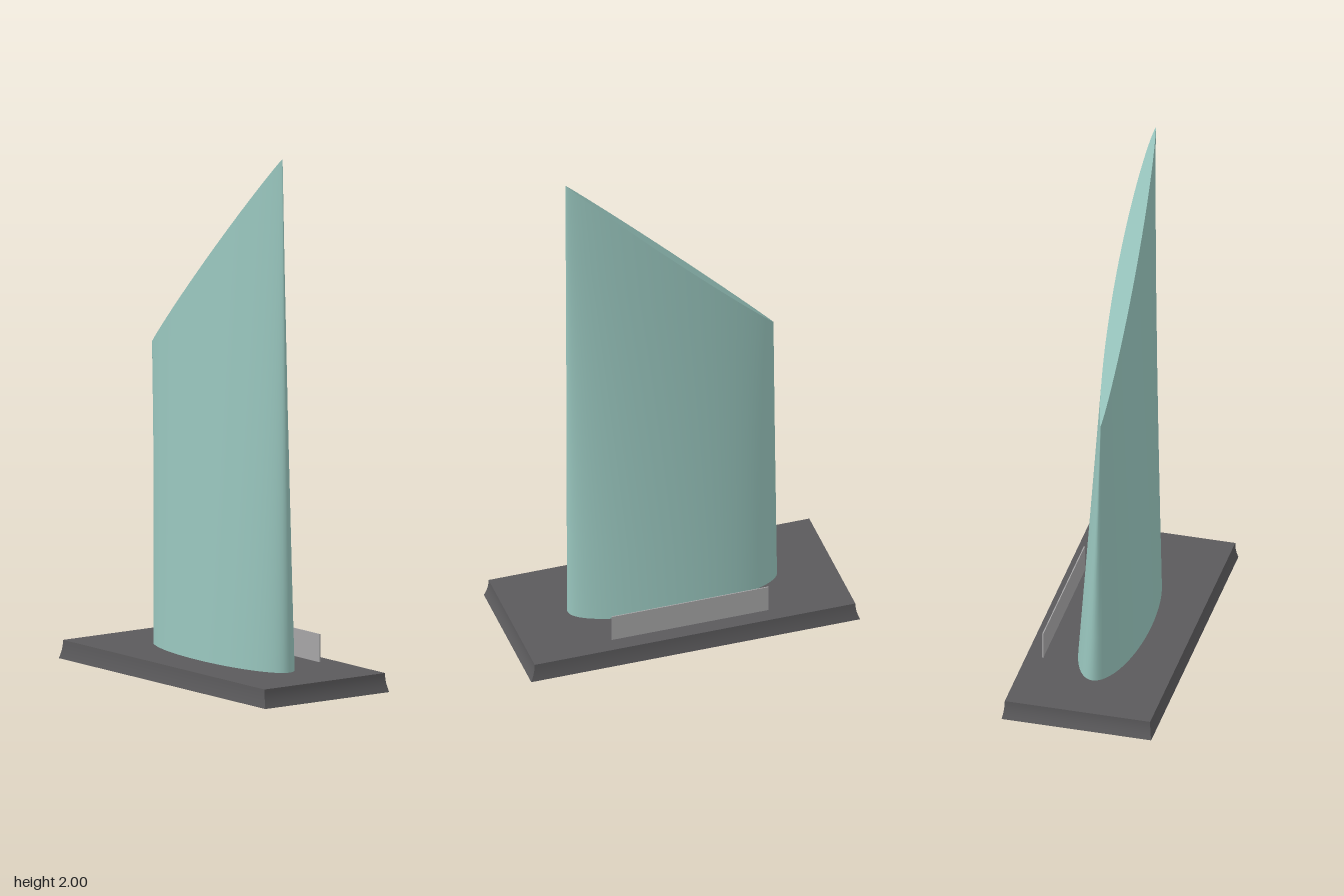
import * as THREE from 'three';

const SEGMENTS = 64;
const ROWS = 6;
const BASE_TOP = 0.07;

const teal = new THREE.MeshStandardMaterial({ color: 0x98c5bd });
teal.name = 'pale teal';
const darkGrey = new THREE.MeshStandardMaterial({ color: 0x5b5a5c });
darkGrey.name = 'dark grey';
const lightGrey = new THREE.MeshStandardMaterial({ color: 0xa6a5a6 });
lightGrey.name = 'light grey';

// Foot of the tower: a plain ellipse
function footPoint(t) {
  return new THREE.Vector3(0.12 * Math.cos(t), BASE_TOP, 0.405 * Math.sin(t));
}

// Top of the tower: an off-centre pointed lens on a 45 degree slope
function crownPoint(t) {
  const c = Math.cos(t);
  const z = 0.403 * Math.sin(t);
  const bulge = Math.pow(Math.abs(c), 1.5) * (c > 0 ? 0.046 : -0.025);
  return new THREE.Vector3(-0.031 + bulge, 1.597 + z, z);
}

function buildGeometry(positions, index) {
  const geometry = new THREE.BufferGeometry();
  geometry.setAttribute('position', new THREE.Float32BufferAttribute(positions, 3));
  geometry.setIndex(index);
  geometry.computeVertexNormals();
  return geometry;
}

// Ruled surface from the foot up to the crown
function towerWall() {
  const positions = [];
  const index = [];
  for (let r = 0; r <= ROWS; r++) {
    for (let i = 0; i < SEGMENTS; i++) {
      const t = (i / SEGMENTS) * Math.PI * 2;
      positions.push(...footPoint(t).lerp(crownPoint(t), r / ROWS).toArray());
    }
  }
  for (let r = 0; r < ROWS; r++) {
    for (let i = 0; i < SEGMENTS; i++) {
      const j = (i + 1) % SEGMENTS;
      const a = r * SEGMENTS + i;
      const b = r * SEGMENTS + j;
      index.push(a, a + SEGMENTS, b, b, a + SEGMENTS, b + SEGMENTS);
    }
  }
  return buildGeometry(positions, index);
}

// Flat sloping face that closes the tower
function towerCap() {
  const positions = [-0.02, 1.597, 0];
  const index = [];
  for (let i = 0; i < SEGMENTS; i++) {
    positions.push(...crownPoint((i / SEGMENTS) * Math.PI * 2).toArray());
    index.push(0, ((i + 1) % SEGMENTS) + 1, i + 1);
  }
  return buildGeometry(positions, index);
}

// Slab whose sides flare out towards the ground
function flaredBase() {
  const geometry = new THREE.BoxGeometry(2, BASE_TOP, 2, 1, 6, 1);
  geometry.translate(0, BASE_TOP / 2, 0);
  const p = geometry.attributes.position;
  for (let i = 0; i < p.count; i++) {
    const flare = Math.pow(1 - p.getY(i) / BASE_TOP, 2);
    p.setX(i, p.getX(i) * (0.277 + 0.008 * flare));
    p.setZ(i, p.getZ(i) * (0.621 + 0.016 * flare));
  }
  geometry.computeVertexNormals();
  return geometry;
}

function part(name, geometry, material) {
  const mesh = new THREE.Mesh(geometry, material);
  mesh.name = name;
  return mesh;
}

export function createModel() {
  const model = new THREE.Group();
  model.name = 'slantedTower';

  const tower = new THREE.Group();
  tower.name = 'tower';
  tower.add(part('towerWall', towerWall(), teal), part('towerSlopedTop', towerCap(), teal));

  // Low upright panel beside the tower
  const panel = part('sidePanel', new THREE.BoxGeometry(0.004, 0.107, 0.608), lightGrey);
  panel.position.set(0.215, 0.1215, 0);

  model.add(part('base', flaredBase(), darkGrey), tower, panel);
  return model;
}
